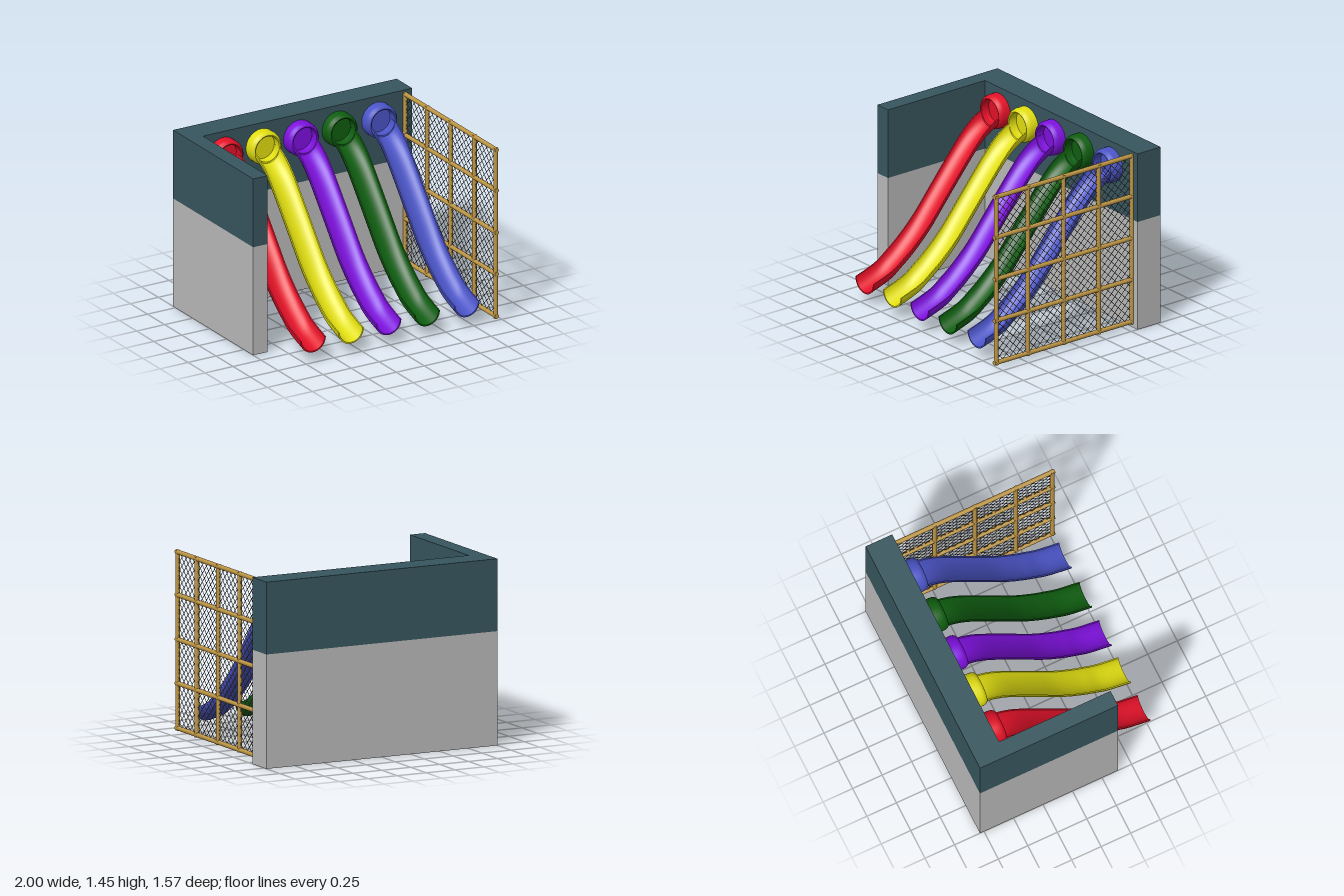
import * as THREE from 'three';
import { mergeGeometries, toCreasedNormals } from 'three/addons/utils/BufferGeometryUtils.js';

const paint = (name, color) => {
  const m = new THREE.MeshStandardMaterial({ color });
  m.name = name;
  return m;
};

function part(parent, name, geometry, material) {
  const mesh = new THREE.Mesh(geometry, material);
  mesh.name = name;
  parent.add(mesh);
  return mesh;
}

// Open half-pipe with a thin wall, swept along the rim path (z, y), front to back
function halfPipe(path, radius, depth, wall) {
  const n = 20, pos = [], idx = [], ring = 2 * (n + 1);
  for (const p of path) {
    for (let k = 0; k < ring; k++) {
      const outer = k <= n;
      const a = Math.PI * (1 + (outer ? k : ring - 1 - k) / n);
      const t = outer ? 0 : wall;
      pos.push(Math.cos(a) * (radius - t), p.y + Math.sin(a) * (depth - t), p.x);
    }
  }
  for (let i = 0; i < path.length - 1; i++) {
    for (let k = 0; k < ring; k++) {
      const a = i * ring + k, b = i * ring + (k + 1) % ring;
      idx.push(a, a + ring, b, b, a + ring, b + ring);
    }
  }
  // Front lip
  for (let k = 0; k < n; k++) {
    const o = k, q = k + 1, iq = ring - 2 - k, io = ring - 1 - k;
    idx.push(o, q, iq, o, iq, io);
  }
  const g = new THREE.BufferGeometry();
  g.setAttribute('position', new THREE.Float32BufferAttribute(pos, 3));
  g.setIndex(idx);
  return toCreasedNormals(g, 0.7);
}

// Round bar between two points
function bar(a, b, r, sides) {
  const d = b.clone().sub(a);
  const g = new THREE.CylinderGeometry(r, r, d.length(), sides);
  g.applyQuaternion(new THREE.Quaternion().setFromUnitVectors(new THREE.Vector3(0, 1, 0), d.normalize()));
  const c = a.clone().add(b).multiplyScalar(0.5);
  return g.translate(c.x, c.y, c.z);
}

export function createModel() {
  const model = new THREE.Group();
  model.name = 'slidePlayArea';
  const grey = paint('wall grey', 0xbababa);
  const teal = paint('wall teal', 0x37565e);
  const wood = paint('bamboo tan', 0xbd9544);
  const netGrey = paint('net grey', 0x625f58);

  // Two-tone walls, with a teal underside
  const split = 0.888, top = 1.45;
  const under = [grey, grey, grey, teal, grey, grey];
  function wall(name, x0, x1, z0, z1) {
    const g = new THREE.Group();
    g.name = name;
    const cx = (x0 + x1) / 2, cz = (z0 + z1) / 2;
    part(g, 'lowerWall', new THREE.BoxGeometry(x1 - x0, split, z1 - z0), under)
      .position.set(cx, split / 2, cz);
    part(g, 'upperWall', new THREE.BoxGeometry(x1 - x0, top - split, z1 - z0), teal)
      .position.set(cx, (top + split) / 2, cz);
    model.add(g);
  }
  wall('backWall', -1, 1, -0.785, -0.56);
  wall('sideWall', -1, -0.87, -0.56, 0.385);

  // Slides: chute, collar and back disc
  const rim = [
    [0.755, 0.195], [0.57, 0.26], [0.456, 0.335], [0.35, 0.415], [0.2, 0.555], [0.045, 0.74],
    [-0.1, 0.915], [-0.25, 1.09], [-0.35, 1.185], [-0.45, 1.245], [-0.555, 1.265],
  ].map(([z, y]) => new THREE.Vector2(z, y));
  const chute = halfPipe(new THREE.SplineCurve(rim).getPoints(40), 0.113, 0.108, 0.011);
  const collar = toCreasedNormals(new THREE.LatheGeometry([
    [0.137, 0], [0.137, 0.055], [0.132, 0.078], [0.122, 0.093], [0.113, 0.097], [0.104, 0.093], [0.104, 0],
  ].map(([r, y]) => new THREE.Vector2(r, y)), 40).rotateX(Math.PI / 2), 0.7);
  const disc = new THREE.CircleGeometry(0.106, 40);
  const slides = [
    ['red', 0xe21128, -0.69], ['yellow', 0xe0dd10, -0.35], ['purple', 0x7d10dc, -0.015],
    ['green', 0x0f5e10, 0.33], ['blue', 0x4a54c6, 0.685],
  ];
  for (const [name, color, x] of slides) {
    const m = paint('slide ' + name, color);
    const g = new THREE.Group();
    g.name = name + 'Slide';
    g.position.x = x;
    part(g, 'chute', chute, m);
    part(g, 'collar', collar, m).position.set(0, 1.265, -0.558);
    part(g, 'tunnelDisc', disc, m).position.set(0, 1.265, -0.535);
    model.add(g);
  }

  // Fence frame
  const fence = new THREE.Group();
  fence.name = 'netFence';
  fence.position.x = 0.935;
  model.add(fence);
  const at = (y, z) => new THREE.Vector3(0, y, z);
  const posts = [0.765, 0.456, 0.11, -0.232, -0.556];
  const rails = [0.048, 0.395, 0.737, 1.082, 1.416];
  for (const z of posts) part(fence, 'post', bar(at(0.03, z), at(1.43, z), 0.018, 14), wood);
  for (const y of rails) part(fence, 'rail', bar(at(y, -0.558), at(y, 0.785), 0.018, 14), wood);

  // Diagonal netting, clipped to the frame
  const z0 = -0.556, z1 = 0.765, y0 = 0.048, y1 = 1.416, step = 0.066;
  const cords = [];
  for (let s = z0 - (y1 - y0) + step / 2; s < z1; s += step) {
    const a = Math.max(s, z0), b = Math.min(s + y1 - y0, z1);
    if (b - a < 0.01) continue;
    const ya = y0 + a - s, yb = y0 + b - s;
    cords.push(bar(at(ya, a), at(yb, b), 0.0025, 5));
    cords.push(bar(at(ya, z0 + z1 - a), at(yb, z0 + z1 - b), 0.0025, 5));
  }
  part(fence, 'netting', mergeGeometries(cords), netGrey);

  return model;
}
